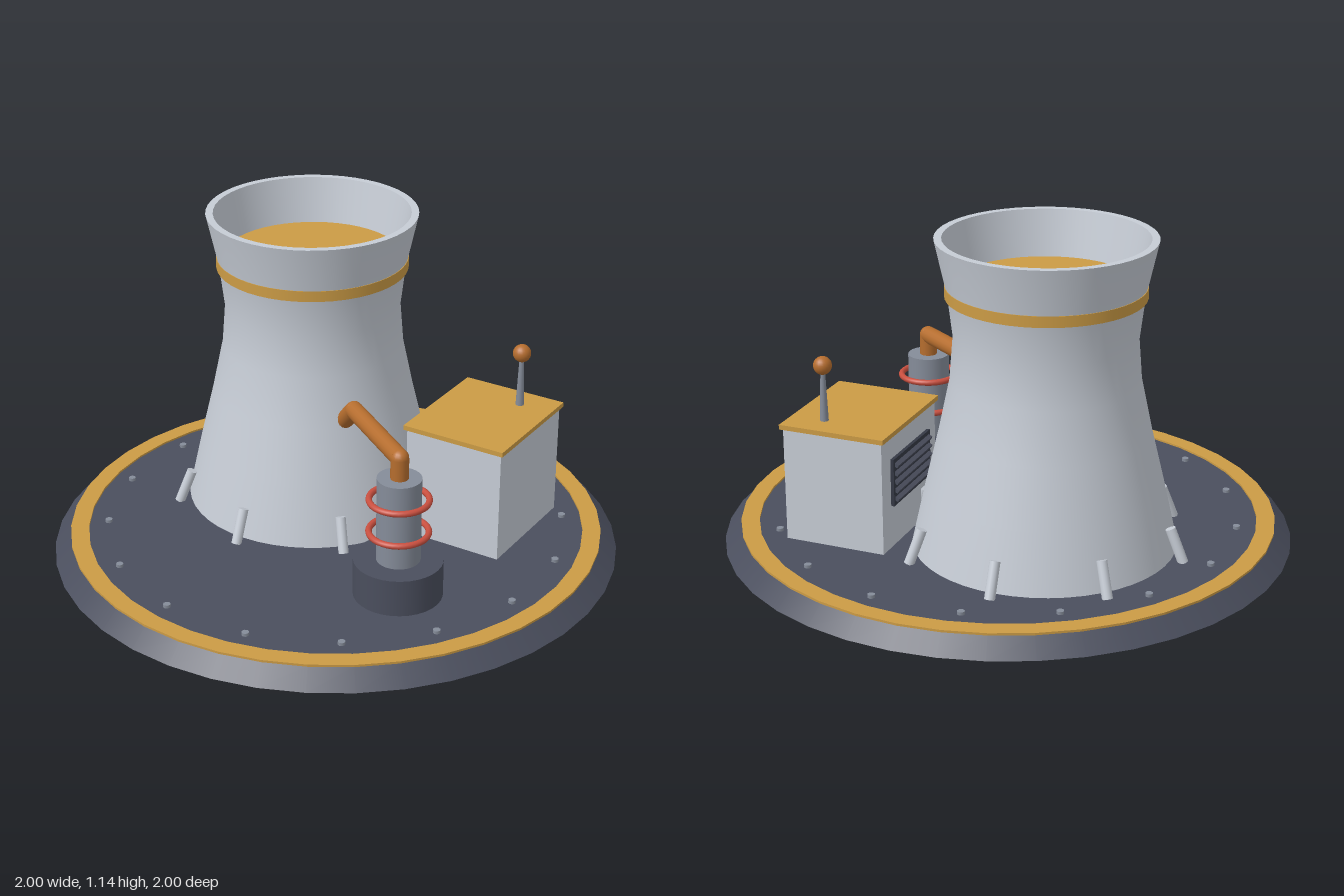
import * as THREE from 'three';

const mat = (name, color, side = THREE.FrontSide) => {
  const m = new THREE.MeshStandardMaterial({ color, side });
  m.name = name;
  return m;
};

export function createModel() {
  const slate = mat('slate', 0x4a4e5d);
  const concrete = mat('concrete', 0xc6ccd5);
  const gold = mat('gold', 0xcb9b45);
  const steel = mat('steel', 0x858c99);
  const copper = mat('copper', 0xb56d2e);
  const red = mat('red', 0xc94f3f);
  const dark = mat('dark', 0x353945);

  const model = new THREE.Group();
  model.name = 'coolingTowerStation';

  const add = (parent, name, geo, material, x = 0, y = 0, z = 0) => {
    const mesh = new THREE.Mesh(geo, material);
    mesh.name = name;
    mesh.position.set(x, y, z);
    parent.add(mesh);
    return mesh;
  };
  const group = (name, x, z) => {
    const g = new THREE.Group();
    g.name = name;
    g.position.set(x, 0, z);
    model.add(g);
    return g;
  };
  const lathe = (pts, segments) =>
    new THREE.LatheGeometry(pts.map(([r, y]) => new THREE.Vector2(r, y)), segments);
  // Cylinder running between two points
  const rod = (parent, name, a, b, r, material) => {
    const dir = b.clone().sub(a);
    const mesh = add(parent, name, new THREE.CylinderGeometry(r, r, dir.length(), 16), material);
    mesh.position.copy(a).add(b).multiplyScalar(0.5);
    mesh.quaternion.setFromUnitVectors(new THREE.Vector3(0, 1, 0), dir.normalize());
    return mesh;
  };

  // Round base with sloped rim, painted ring and bolts
  const base = group('base', 0, 0);
  add(base, 'basePlate', new THREE.CylinderGeometry(0.94, 1, 0.06, 40), slate, 0, 0.03, 0);
  const ring = add(base, 'baseRing', new THREE.ExtrudeGeometry(ringShape(0.942, 0.878, 40),
    { depth: 0.008, bevelEnabled: false, curveSegments: 40 }), gold, 0, 0.059, 0);
  ring.rotation.x = -Math.PI / 2;
  for (let i = 0; i < 16; i++) {
    const a = (i + 0.5) * Math.PI / 8;
    add(base, 'bolt', new THREE.CylinderGeometry(0.013, 0.013, 0.012, 8), steel,
      Math.cos(a) * 0.81, 0.065, Math.sin(a) * 0.81);
  }

  // Waisted tower: outer shell, rim, inner wall and cap
  const tower = group('tower', -0.203, -0.168);
  const outer = [[0.455, 0.06], [0.408, 0.27], [0.36, 0.47], [0.322, 0.65], [0.31, 0.8],
    [0.328, 0.95], [0.37, 1.14]];
  add(tower, 'towerShell', lathe(outer, 48), concrete);
  add(tower, 'towerRim', lathe([[0.37, 1.14], [0.344, 1.14]], 48), concrete);
  add(tower, 'towerInnerWall', lathe([[0.344, 1.14], [0.31, 0.97]], 48), concrete);
  add(tower, 'towerCap', new THREE.CylinderGeometry(0.311, 0.311, 0.01, 48), gold, 0, 0.975, 0);
  add(tower, 'towerBand', lathe([[0.32, 0.942], [0.337, 0.942], [0.337, 0.98], [0.325, 0.98]]
    .flatMap((p, i) => (i === 1 || i === 2 ? [p, p] : [p])), 48), gold);

  // Leaning struts around the foot
  for (let i = 0; i < 8; i++) {
    const a = i * Math.PI / 4, c = Math.cos(a), s = Math.sin(a);
    rod(tower, 'strut', new THREE.Vector3(c * 0.498, 0.058, s * 0.498),
      new THREE.Vector3(c * 0.45, 0.175, s * 0.45), 0.018, concrete);
  }

  // Control house with roof slab, louvred vent and antenna
  const house = group('controlHouse', 0.438, -0.277);
  add(house, 'houseWalls', new THREE.BoxGeometry(0.366, 0.407, 0.436), concrete, 0, 0.2635, 0);
  add(house, 'houseRoof', new THREE.BoxGeometry(0.386, 0.017, 0.456), gold, 0, 0.4735, 0);
  add(house, 'ventPanel', new THREE.BoxGeometry(0.012, 0.17, 0.3), dark, -0.189, 0.298, 0);
  for (let i = 0; i < 5; i++) {
    const slat = add(house, 'ventSlat', new THREE.BoxGeometry(0.018, 0.012, 0.28), slate,
      -0.198, 0.236 + i * 0.031, 0);
    slat.rotation.z = 0.5;
  }
  add(house, 'antennaMast', new THREE.CylinderGeometry(0.008, 0.015, 0.18, 12), steel,
    0.069, 0.57, -0.133);
  add(house, 'antennaBall', new THREE.SphereGeometry(0.032, 20, 14), copper, 0.069, 0.68, -0.133);

  // Pump with two red coils
  const pump = group('pump', 0.44, 0.305);
  add(pump, 'pumpBase', new THREE.CylinderGeometry(0.152, 0.152, 0.132, 32), slate, 0, 0.126, 0);
  add(pump, 'pumpColumn', new THREE.CylinderGeometry(0.075, 0.075, 0.305, 28), steel, 0, 0.3425, 0);
  for (const y of [0.295, 0.415]) {
    add(pump, 'pumpCoil', new THREE.TorusGeometry(0.1, 0.011, 10, 36), red, 0, y, 0)
      .rotation.x = Math.PI / 2;
  }

  // Copper pipe from the pump to the tower, with round elbows
  const pipe = group('pipe', 0, 0);
  const path = [[0.44, 0.48, 0.305], [0.44, 0.568, 0.305], [0.13, 0.568, 0.088], [0.064, 0.494, 0.042]]
    .map((p) => new THREE.Vector3(...p));
  for (let i = 0; i < 3; i++) rod(pipe, 'pipeRun', path[i], path[i + 1], 0.031, copper);
  for (const p of path.slice(1, 3)) {
    add(pipe, 'pipeElbow', new THREE.SphereGeometry(0.031, 16, 12), copper, p.x, p.y, p.z);
  }

  return model;
}

// Flat ring outline with straight sides
function ringShape(outer, inner, sides) {
  const circle = (r) => Array.from({ length: sides }, (_, i) => {
    const a = (i / sides) * Math.PI * 2 + Math.PI / 2;
    return new THREE.Vector2(Math.cos(a) * r, Math.sin(a) * r);
  });
  const shape = new THREE.Shape(circle(outer));
  shape.holes.push(new THREE.Path(circle(inner)));
  return shape;
}
